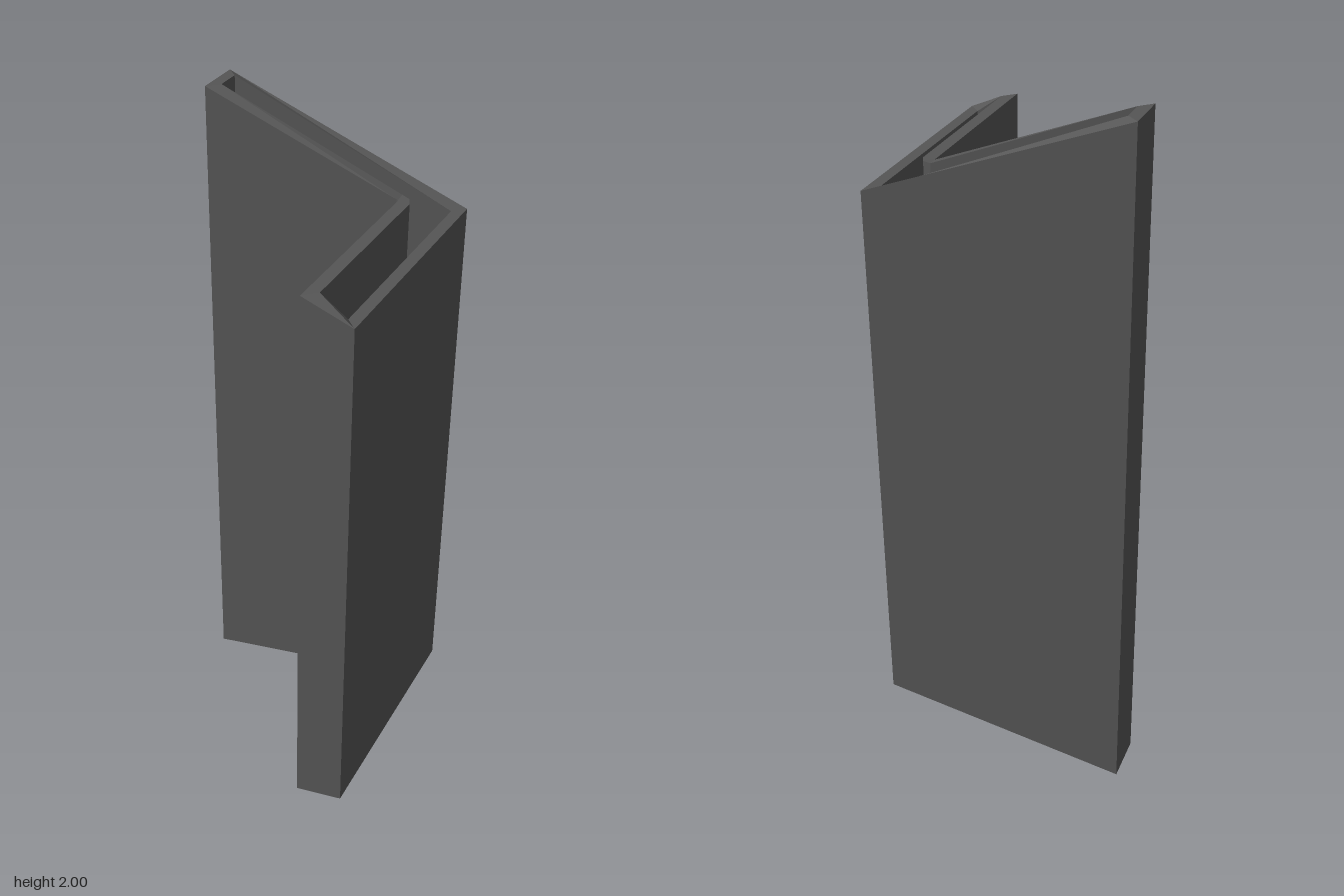
import * as THREE from 'three';

// Plan of the hollow L-shaped profile: [outer x, outer z, inner x, inner z]
const PLAN = [
  [-0.36, -0.36, -0.327, -0.327],
  [0.36, -0.36, 0.327, -0.327],
  [0.36, 0.36, 0.327, 0.325],
  [0.217, 0.36, 0.252, 0.325],
  // softened inside corner
  [0.217, -0.214, 0.252, -0.214],
  [0.216, -0.219, 0.24, -0.24],
  [0.211, -0.22, 0.214, -0.253],
  [-0.36, -0.22, -0.327, -0.253],
];

// Slanted end cuts; both sides of the wall share the height of the outer edge
const topAt = (x) => 2 - 0.265 * (x + 0.36) / 0.72;
const bottomAt = (x) => 0.13 * (x + 0.36) / 0.72;

// Wall cross-section at one plan point: outer bottom, outer top, inner top, inner bottom
function section([ox, oz, ix, iz]) {
  const top = topAt(ox), bottom = bottomAt(ox);
  return [[ox, bottom, oz], [ox, top, oz], [ix, top, iz], [ix, bottom, iz]];
}

// Join consecutive cross-sections around the closed plan with flat quads
function wallGeometry() {
  const rings = PLAN.map(section);
  const positions = [];
  rings.forEach((ring, i) => {
    const next = rings[(i + 1) % rings.length];
    for (let k = 0; k < 4; k++) {
      const m = (k + 1) % 4;
      positions.push(...ring[k], ...ring[m], ...next[m]);
      positions.push(...ring[k], ...next[m], ...next[k]);
    }
  });
  const geometry = new THREE.BufferGeometry();
  geometry.setAttribute('position', new THREE.Float32BufferAttribute(positions, 3));
  geometry.computeVertexNormals();
  return geometry;
}

export function createModel() {
  const group = new THREE.Group();
  group.name = 'cornerProfile';
  const material = new THREE.MeshStandardMaterial({ color: 0x555555 });
  const wall = new THREE.Mesh(wallGeometry(), material);
  wall.name = 'hollowCornerWall';
  group.add(wall);
  return group;
}
